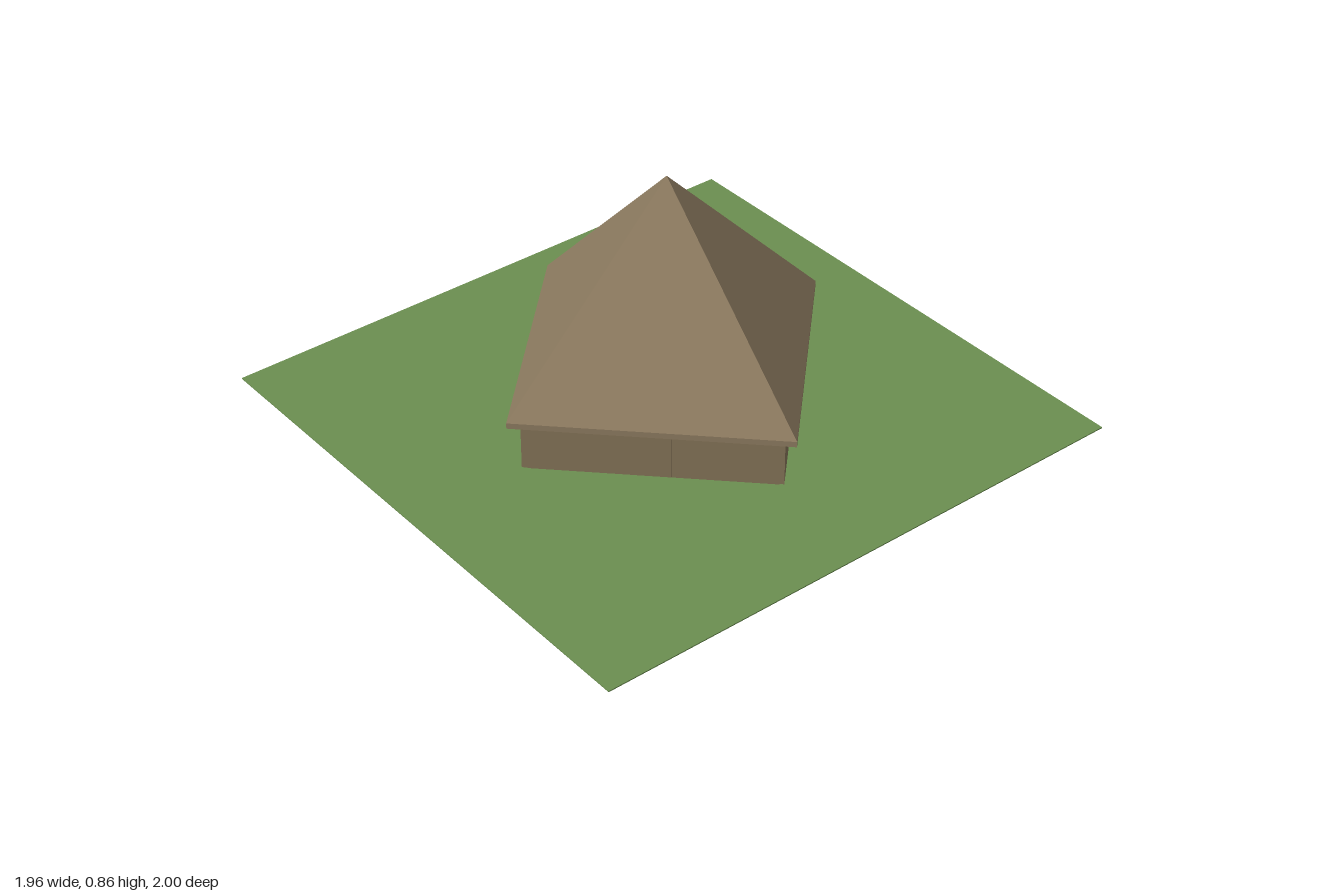
import * as THREE from 'three';

const material = (name, color) => {
  const m = new THREE.MeshStandardMaterial({ color });
  m.name = name;
  return m;
};

export function createModel() {
  const model = new THREE.Group();
  model.name = 'hut';

  const grass = material('grass green', 0x6b8e50);
  const thatch = material('thatch brown', 0x8c7a5f);
  const mud = material('mud brown', 0x837256);

  const add = (name, geometry, mat, x, y, z) => {
    const mesh = new THREE.Mesh(geometry, mat);
    mesh.name = name;
    mesh.position.set(x, y, z);
    model.add(mesh);
    return mesh;
  };

  // Four-sided faceted prism or pyramid with its corners on the x and z axes
  const foursided = (name, rTop, rBottom, y0, y1, mat) => {
    const g = new THREE.CylinderGeometry(rTop, rBottom, y1 - y0, 4).toNonIndexed();
    g.computeVertexNormals();
    return add(name, g, mat, 0, (y0 + y1) / 2, 0);
  };

  // Lawn
  add('ground', new THREE.BoxGeometry(1.96, 0.004, 2), grass, 0, 0.002, 0);

  // Plinth and walls
  foursided('plinth', 0.56, 0.56, 0.004, 0.02, mud);
  foursided('walls', 0.582, 0.582, 0.018, 0.2, mud);

  // Eaves and pyramid roof
  foursided('eaves', 0.635, 0.635, 0.192, 0.212, thatch);
  foursided('roof', 0, 0.635, 0.212, 0.862, thatch);

  // Door lying almost flush in the front left wall
  const door = add('door', new THREE.BoxGeometry(0.118, 0.15, 0.008), mud, 0.292, 0.095, 0.292);
  door.rotation.y = Math.PI / 4;

  return model;
}
